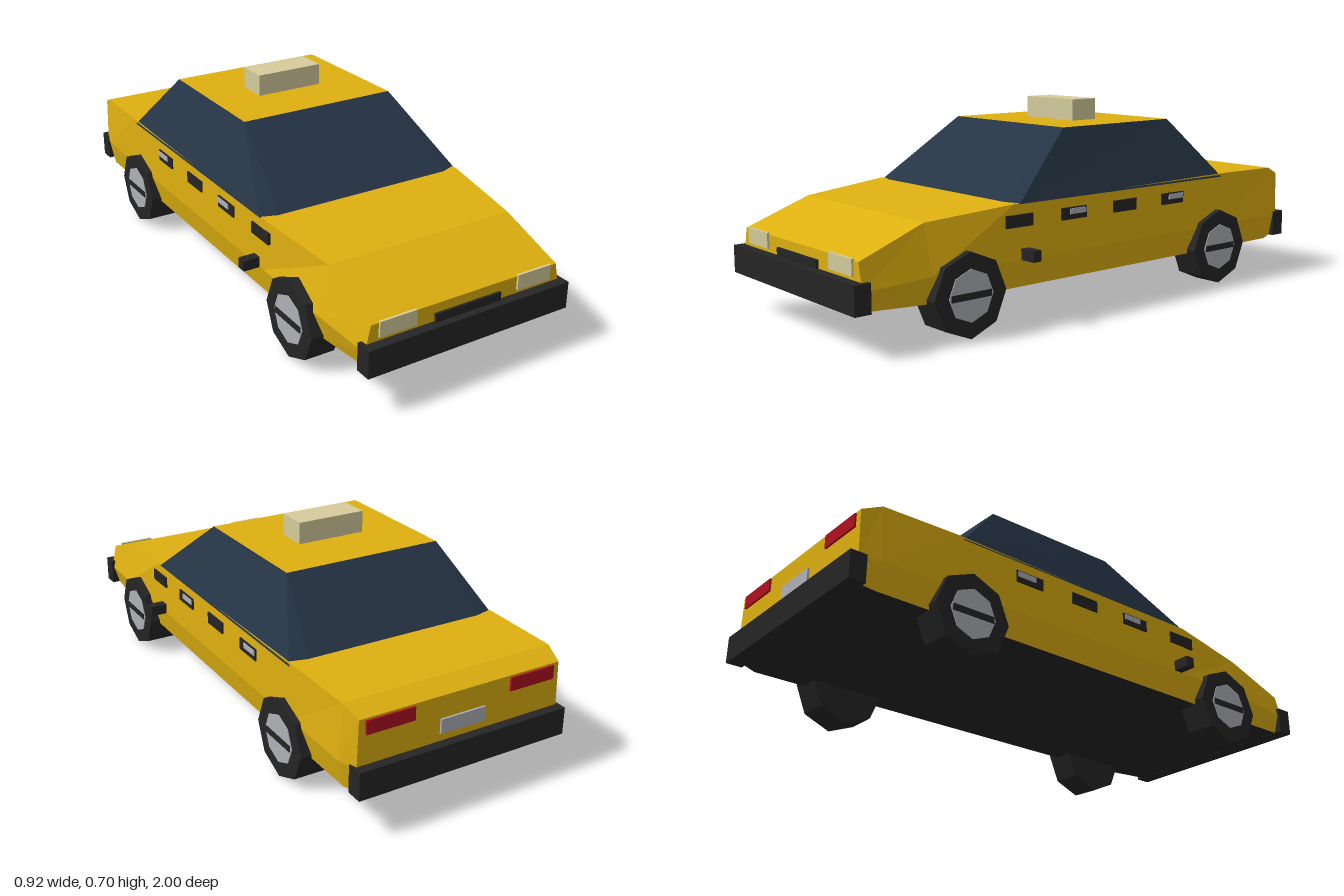
import * as THREE from 'three';

const mat = (name, color) => {
  const m = new THREE.MeshStandardMaterial({ color });
  m.name = name;
  return m;
};

export function createModel() {
  const car = new THREE.Group();
  car.name = 'cab';
  const yellow = mat('yellow paint', 0xdfb010);
  const black = mat('black trim', 0x252525);
  const glass = mat('dark glass', 0x263546);
  const cream = mat('cream lamp', 0xd6cc9c);
  const silver = mat('silver', 0xb0b1b8);
  const red = mat('red lamp', 0xb01020);

  const add = (name, geometry, material, parent = car) => {
    const mesh = new THREE.Mesh(geometry, material);
    mesh.name = name;
    parent.add(mesh);
    return mesh;
  };

  // Box given by its extents on each axis
  const box = (name, material, [x0, x1], [y0, y1], [z0, z1], parent = car) => {
    const b = add(name, new THREE.BoxGeometry(x1 - x0, y1 - y0, z1 - z0), material, parent);
    b.position.set((x0 + x1) / 2, (y0 + y1) / 2, (z0 + z1) / 2);
    return b;
  };

  // Flat-faced geometry from convex polygons, corners counter-clockwise from outside
  const faces = (polygons) => {
    const pos = [];
    for (const p of polygons)
      for (let i = 1; i < p.length - 1; i++) pos.push(...p[0], ...p[i], ...p[i + 1]);
    const g = new THREE.BufferGeometry();
    g.setAttribute('position', new THREE.Float32BufferAttribute(pos, 3));
    g.computeVertexNormals();
    return g;
  };

  // Body cross-sections, front to back: z, then half width and height of sill, waist, top edge
  const rings = [
    [0.965, 0.36, 0.135, 0.38, 0.2, 0.36, 0.288],
    [0.73, 0.375, 0.125, 0.398, 0.215, 0.355, 0.376],
    [0.405, 0.38, 0.125, 0.4, 0.22, 0.396, 0.404],
    [-0.62, 0.38, 0.125, 0.4, 0.22, 0.396, 0.414],
    [-0.9, 0.38, 0.125, 0.4, 0.22, 0.39, 0.41],
    [-0.967, 0.365, 0.14, 0.38, 0.22, 0.375, 0.382],
  ].map(([z, wb, yb, wm, ym, wt, yt]) => [
    [wb, yb, z], [wm, ym, z], [wt, yt, z], [-wt, yt, z], [-wm, ym, z], [-wb, yb, z],
  ]);
  const shell = [rings[0], [...rings[rings.length - 1]].reverse()];
  const floor = [];
  for (let s = 0; s < rings.length - 1; s++) {
    const f = rings[s], b = rings[s + 1];
    for (let i = 0; i < 6; i++) {
      const j = (i + 1) % 6;
      (i === 5 ? floor : shell).push([f[i], b[i], b[j], f[j]]);
    }
  }
  add('body', faces(shell), yellow);
  add('underside', faces(floor), black);

  // Cabin: windscreen and rear window narrower at the base than the side glass
  const top = 0.625, base = 0.402;
  const roofF = (s) => [0.3 * s, top, 0.11], roofB = (s) => [0.295 * s, top, -0.41];
  const baseF = (s) => [0.34 * s, base, 0.405], baseB = (s) => [0.335 * s, base, -0.622];
  const sideF = (s) => [0.399 * s, base, 0.385], sideB = (s) => [0.399 * s, base, -0.605];
  add('windscreen', faces([[baseF(-1), baseF(1), roofF(1), roofF(-1)]]), glass);
  add('rearWindow', faces([[baseB(1), baseB(-1), roofB(-1), roofB(1)]]), glass);
  add('roof', faces([[roofF(-1), roofF(1), roofB(1), roofB(-1)]]), yellow);
  for (const s of [1, -1]) {
    const panes = [
      [sideF(s), sideB(s), roofB(s), roofF(s)],
      [baseF(s), sideF(s), roofF(s)],
      [sideB(s), baseB(s), roofB(s)],
    ];
    add(s > 0 ? 'leftWindows' : 'rightWindows',
      faces(s > 0 ? panes : panes.map((p) => p.reverse())), glass);
  }
  box('roofSign', cream, [-0.127, 0.127], [0.62, 0.702], [-0.203, -0.09]);

  // Bumpers, grille and number plate
  box('frontBumper', black, [-0.39, 0.39], [0.133, 0.228], [0.942, 1]);
  box('rearBumper', black, [-0.39, 0.39], [0.133, 0.228], [-1, -0.942]);
  box('grille', black, [-0.127, 0.127], [0.21, 0.257], [0.966, 0.975]);
  box('numberPlate', silver, [-0.083, 0.083], [0.255, 0.305], [-0.974, -0.966]);

  // Eight-sided wheel with its outer face towards +x
  const wheel = (name, side, z) => {
    const w = new THREE.Group();
    w.name = name;
    const disc = (part, r, x0, x1, m) => {
      const g = new THREE.CylinderGeometry(r, r, x1 - x0, 8).toNonIndexed();
      g.computeVertexNormals();
      add(part, g.rotateZ(-Math.PI / 2), m, w).position.x = (x0 + x1) / 2;
    };
    disc('tyre', 0.14, -0.055, 0.055, black);
    disc('hubcap', 0.086, 0.05, 0.058, silver);
    box('hubBar', black, [0.055, 0.061], [-0.011, 0.011], [-0.078, 0.078], w);
    w.position.set(side * 0.366, 0.14, z);
    if (side < 0) w.rotation.y = Math.PI;
    car.add(w);
  };

  // Parts repeated on both sides
  for (const s of [1, -1]) {
    const side = s > 0 ? 'left' : 'right';
    const x = (a, b) => (s > 0 ? [a, b] : [-b, -a]);
    wheel(`${side}FrontWheel`, s, 0.6);
    wheel(`${side}RearWheel`, s, -0.577);
    box(`${side}Headlight`, cream, x(0.197, 0.332), [0.24, 0.294], [0.963, 0.972]);
    box(`${side}TailLight`, red, x(0.18, 0.352), [0.33, 0.376], [-0.974, -0.965]);
    box(`${side}Mirror`, black, x(0.39, 0.46), [0.219, 0.256], [0.345, 0.38]);
    // Door plates, every second one carrying a bright handle
    [0.387, 0.15, -0.09, -0.333].forEach((z, i) => {
      box(`${side}DoorPlate${i + 1}`, black, x(0.394, 0.403), [0.328, 0.369], [z - 0.056, z + 0.056]);
      if (i % 2) box(`${side}DoorHandle${i + 1}`, silver, x(0.4, 0.406), [0.346, 0.365], [z - 0.052, z + 0.022]);
    });
  }
  return car;
}
